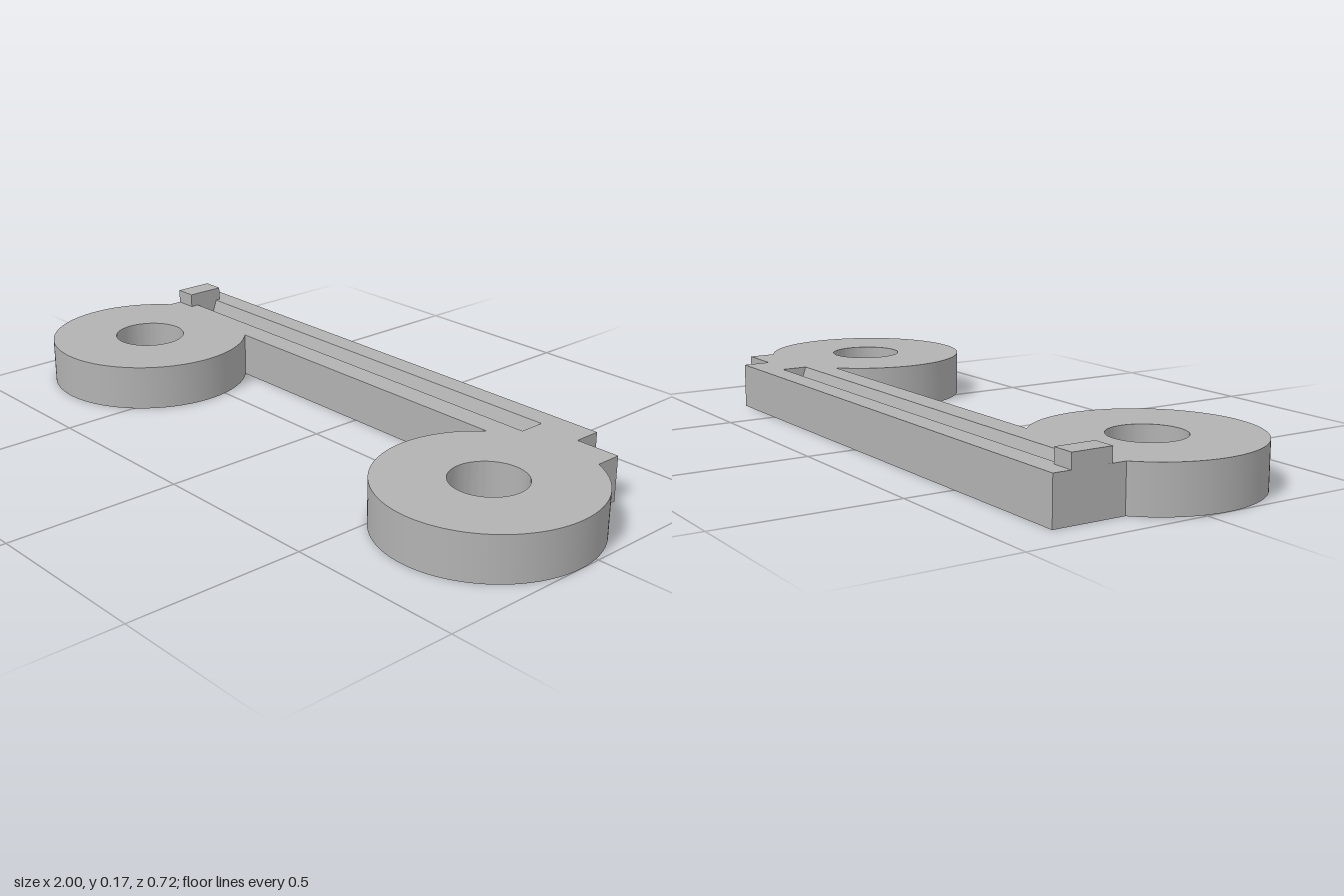
import * as THREE from 'three';
import { toCreasedNormals } from 'three/addons/utils/BufferGeometryUtils.js';

const HEIGHT = 0.128;
const RING = { x: 0.705, z: 0.065, outer: 0.295, inner: 0.103 };
const GROOVE = { x0: -0.835, x1: 0.565, back: -0.296, front: -0.22, slope: 0.016, depth: 0.045 };

// Plan shapes use (x, -z)
function arcRound(shape, cx, from, to) {
  const cy = -RING.z;
  const a = Math.atan2(from[1] - cy, from[0] - cx);
  const b = Math.atan2(to[1] - cy, to[0] - cx);
  shape.absarc(cx, cy, RING.outer, a, b, true);
}

function bodyGeometry() {
  const s = new THREE.Shape();
  s.moveTo(-0.9, 0.36);
  s.lineTo(0.7, 0.36);
  s.lineTo(0.7, 0.28);
  s.lineTo(0.83, 0.28);
  s.lineTo(0.83, 0.202);
  arcRound(s, RING.x, [0.83, 0.202], [0.503, 0.15]);
  arcRound(s, -RING.x, [-0.503, 0.15], [-0.9, 0.156]);
  s.closePath();

  // Ring holes
  for (const side of [-1, 1]) {
    s.holes.push(new THREE.Path().absarc(side * RING.x, -RING.z, RING.inner, 0, Math.PI * 2, false));
  }
  // Opening for the groove
  const { x0, x1, back, front } = GROOVE;
  s.holes.push(new THREE.Path([[x0, -front], [x1, -front], [x1, -back], [x0, -back]]
    .map(([x, y]) => new THREE.Vector2(x, y))));

  const g = new THREE.ExtrudeGeometry(s, { depth: HEIGHT, bevelEnabled: false, curveSegments: 64 });
  g.rotateX(-Math.PI / 2);
  return toCreasedNormals(g, 0.4);
}

// Channel with sloping walls, extruded along x
function channelGeometry() {
  const { x0, x1, back, front, slope, depth } = GROOVE;
  const floor = HEIGHT - depth;
  const profile = new THREE.Shape([
    [-front, 0], [-back, 0], [-back, HEIGHT],
    [-back - slope, floor], [-front + slope, floor], [-front, HEIGHT],
  ].map(([a, y]) => new THREE.Vector2(a, y)));
  const g = new THREE.ExtrudeGeometry(profile, { depth: x1 - x0, bevelEnabled: false });
  g.rotateY(Math.PI / 2);
  g.translate(x0, 0, 0);
  return g;
}

export function createModel() {
  const group = new THREE.Group();
  group.name = 'bracket';
  const grey = new THREE.MeshStandardMaterial({ color: 0xb2b2b2 });
  grey.name = 'grey';

  const add = (name, geometry) => {
    const mesh = new THREE.Mesh(geometry, grey);
    mesh.name = name;
    group.add(mesh);
    return mesh;
  };

  add('barWithRings', bodyGeometry());
  add('grooveChannel', channelGeometry());

  // Raised stop at the end of the groove
  add('endStop', new THREE.BoxGeometry(0.065, 0.04, 0.115))
    .position.set(-0.8675, HEIGHT + 0.02, -0.2525);

  return group;
}
